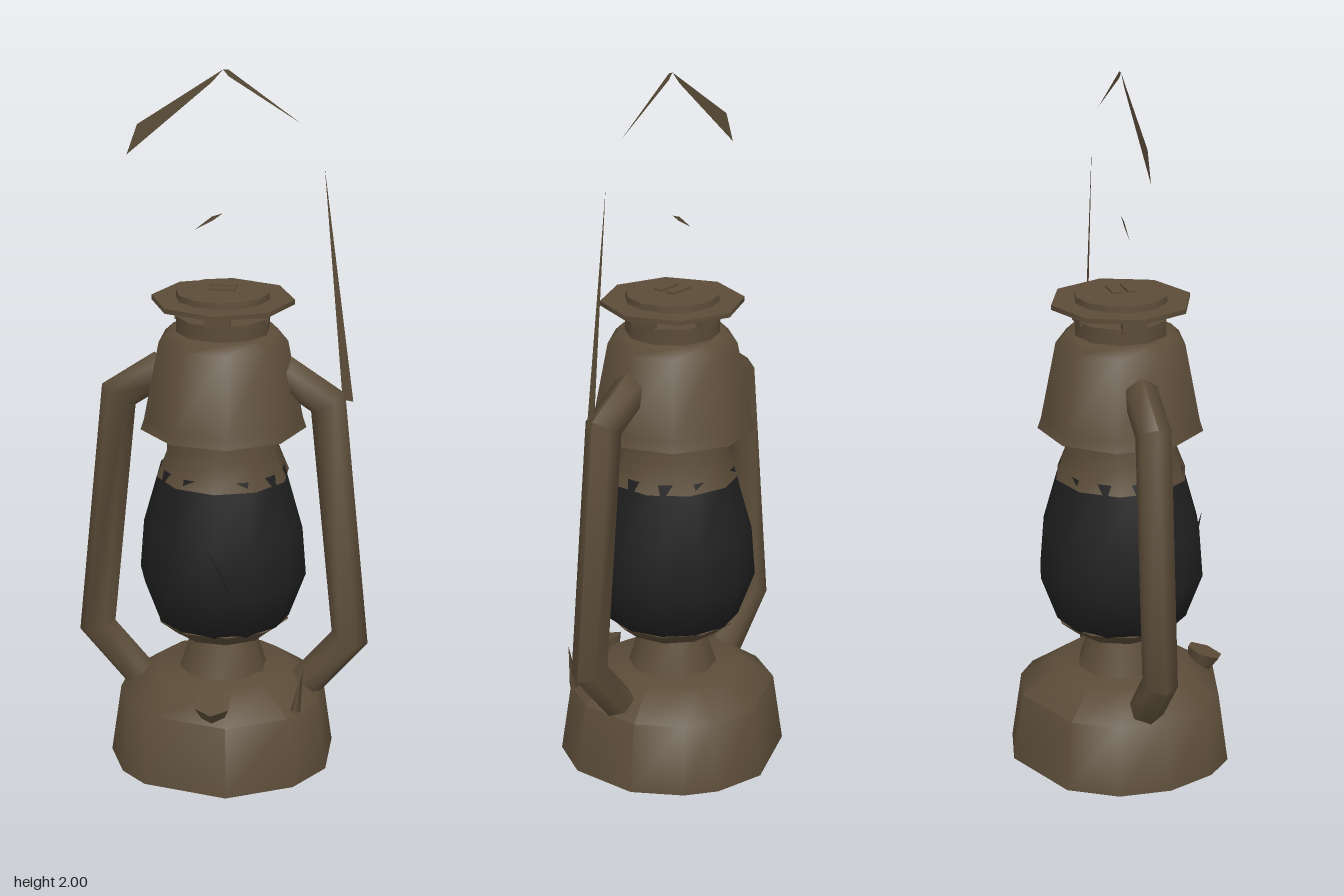
import * as THREE from 'three';
import { toCreasedNormals } from 'three/addons/utils/BufferGeometryUtils.js';

const brass = new THREE.MeshStandardMaterial({ name: 'agedBrass', color: 0x5b4c38 });
const brassThin = new THREE.MeshStandardMaterial({ name: 'agedBrassThin', color: 0x5b4c38, side: THREE.DoubleSide });
const glass = new THREE.MeshStandardMaterial({ name: 'smokedGlass', color: 0x202020 });

// Skin a list of equal-length closed rings of Vector3
function skin(rings, crease) {
  const n = rings[0].length, pos = [], index = [];
  rings.forEach(ring => ring.forEach(p => pos.push(p.x, p.y, p.z)));
  for (let j = 0; j < rings.length - 1; j++) {
    for (let i = 0; i < n; i++) {
      const k = (i + 1) % n, a = j * n + i, b = j * n + k, c = a + n, d = b + n;
      if (!rings[j][i].equals(rings[j][k])) index.push(a, b, d);
      if (!rings[j + 1][i].equals(rings[j + 1][k])) index.push(a, d, c);
    }
  }
  const g = new THREE.BufferGeometry();
  g.setAttribute('position', new THREE.Float32BufferAttribute(pos, 3));
  g.setIndex(index);
  return toCreasedNormals(g, crease);
}

// Regular outline of radius 1, starting at the front
const polygon = (sides, turn = 0) => Array.from({ length: sides }, (_, i) => {
  const a = turn + i / sides * Math.PI * 2;
  return [Math.sin(a), Math.cos(a)];
});

// Profile of [scale, height] pairs, bottom to top, swept around an outline
const loft = (outline, profile) => skin(
  profile.map(([s, y]) => outline.map(([x, z]) => new THREE.Vector3(x * s, y, z * s))), 0.9);

// Tube along an xy path with mitred corners
function mitredTube(path, radius, sides) {
  const pts = path.map(p => new THREE.Vector2(...p));
  const rings = pts.map((p, i) => {
    const before = p.clone().sub(pts[Math.max(i - 1, 0)]).normalize();
    const after = pts[Math.min(i + 1, pts.length - 1)].clone().sub(p).normalize();
    const t = before.clone().add(after).normalize();
    const stretch = 1 / t.dot(i ? before : after);
    return Array.from({ length: sides }, (_, k) => {
      const a = k / sides * Math.PI * 2, u = Math.cos(a) * radius * stretch;
      return new THREE.Vector3(p.x + t.y * u, p.y - t.x * u, -Math.sin(a) * radius);
    });
  });
  return skin(rings, 1.2);
}

export function createModel() {
  const group = new THREE.Group();
  const add = (name, geometry, material = brass) => {
    const mesh = new THREE.Mesh(geometry, material);
    mesh.name = name;
    group.add(mesh);
    return mesh;
  };

  // Fuel tank with a slightly dented outline
  const tank = [[0.05, 0.325], [0.23, 0.23], [0.31, 0.1], [0.31, -0.1], [0.23, -0.23], [0.15, -0.29],
    [0, -0.325], [-0.23, -0.23], [-0.31, -0.1], [-0.32, 0.05], [-0.265, 0.19], [-0.19, 0.265]];
  add('fuelTank', loft(tank, [[0, 0], [1, 0], [0.91, 0.2], [0.6, 0.27], [0, 0.27]]));

  // Burner between tank and globe
  add('burnerNeck', loft(polygon(10), [[0.13, 0.26], [0.085, 0.4]]));
  add('burnerDish', loft(polygon(10, 0.2), [[0, 0.39], [0.14, 0.385], [0.192, 0.428], [0.15, 0.438], [0, 0.438]]));

  // Globe and the collar gripping its top
  add('globe', loft(polygon(12), [[0, 0.395], [0.14, 0.395], [0.19, 0.43], [0.238, 0.56],
    [0.227, 0.7], [0.176, 0.882], [0, 0.882]]), glass);
  add('collar', loft(polygon(10), [[0.12, 0.855], [0.19, 0.855], [0.16, 0.93], [0.157, 1.02]]));

  // Hood and chimney
  add('hood', loft(polygon(9, Math.PI / 2), [[0.15, 1.015], [0.235, 1.0], [0.225, 1.03], [0.182, 1.25],
    [0.155, 1.275], [0, 1.275]]));
  add('chimney', loft(polygon(10), [[0.132, 1.26], [0.132, 1.32], [0, 1.32]]));

  // Vent posts carrying the cap
  for (let i = 0; i < 4; i++) {
    const a = i * Math.PI / 2;
    const post = add('ventPost', new THREE.BoxGeometry(0.07, 0.05, 0.02));
    post.position.set(Math.sin(a) * 0.12, 1.335, Math.cos(a) * 0.12);
    post.rotation.y = a;
  }
  add('capBrim', loft(polygon(8), [[0, 1.355], [0.2, 1.355], [0.2, 1.368], [0, 1.368]]));
  add('capCrown', loft(polygon(12), [[0.132, 1.36], [0.13, 1.386], [0, 1.388]]));
  for (const z of [-0.022, 0.022]) {
    add('capLoop', new THREE.BoxGeometry(0.074, 0.006, 0.026)).position.set(0, 1.398, z);
  }

  // Side air tubes, running from hood to tank shoulder
  const armPath = [[0.13, 1.115], [0.19, 1.145], [0.295, 1.075], [0.366, 0.37], [0.22, 0.2]];
  for (const side of [1, -1]) {
    const path = armPath.map(([x, y]) => [x * side, y]);
    add(side > 0 ? 'leftAirTube' : 'rightAirTube', mitredTube(path, 0.05, 6));
  }

  // Filler cap and wick lever on the tank
  const filler = add('fillerCap', new THREE.CylinderGeometry(0.055, 0.035, 0.05, 6));
  filler.position.set(0.005, 0.238, 0.25);
  filler.rotation.x = 0.35;
  const lever = add('wickLever', new THREE.ConeGeometry(0.016, 0.14, 3));
  lever.position.set(0.24, 0.28, 0.18);
  lever.rotation.z = -0.15;

  // Lift wire lying against the globe
  const lift = add('globeLiftWire', new THREE.ConeGeometry(0.008, 0.14, 4), glass);
  lift.position.set(0.02, 0.65, 0.238);
  lift.rotation.z = 0.5;

  // Broken remains of the carrying wire
  const shards = [
    [[-0.265, 1.76], [-0.235, 1.845], [0, 2], [-0.03, 1.965]],
    [[0, 2], [0.015, 2], [0.21, 1.86], [0.015, 1.982]],
    [[0.277, 1.74], [0.365, 1.08], [0.335, 1.085]],
    [[-0.08, 1.555], [-0.03, 1.595], [0, 1.605], [-0.03, 1.582]],
  ];
  for (const pts of shards) {
    const shape = new THREE.Shape(pts.map(p => new THREE.Vector2(...p)));
    add('carryWire', new THREE.ShapeGeometry(shape), brassThin);
  }

  return group;
}
